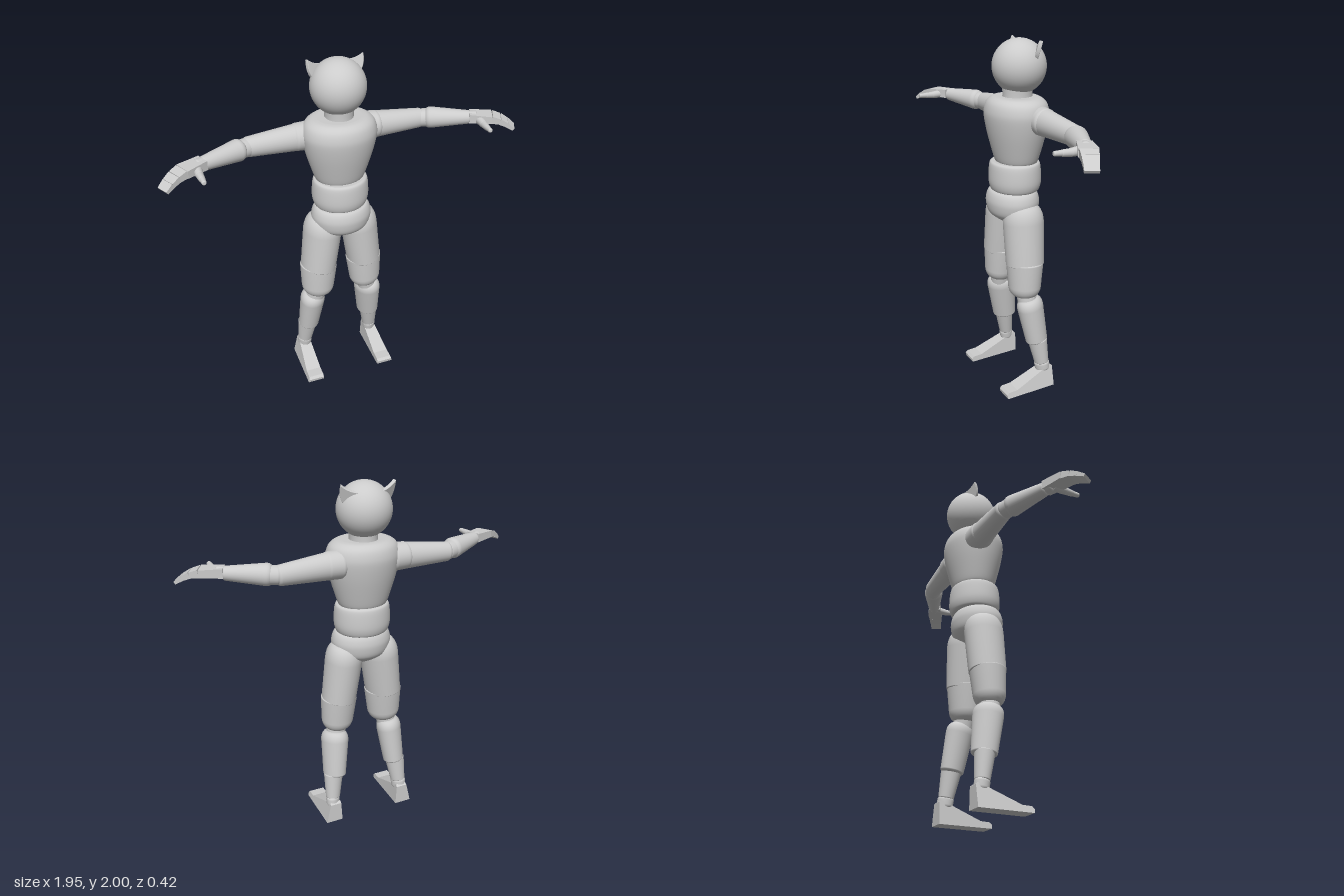
import * as THREE from 'three';

const material = new THREE.MeshStandardMaterial({ color: 0xcccccc });
const UP = new THREE.Vector3(0, 1, 0);

function add(parent, name, geometry) {
  const mesh = new THREE.Mesh(geometry, material);
  mesh.name = name;
  parent.add(mesh);
  return mesh;
}

// Upright torso part: [radius, height] profile smoothed by a spline, with closed ends
function turned(parent, name, profile, z, depth) {
  const curve = new THREE.SplineCurve(profile.map(([r, y]) => new THREE.Vector2(r, y)));
  const pts = curve.getPoints(36);
  pts.unshift(new THREE.Vector2(0, pts[0].y));
  pts.push(new THREE.Vector2(0, pts[pts.length - 1].y));
  const mesh = add(parent, name, new THREE.LatheGeometry(pts, 48));
  mesh.scale.z = depth;
  mesh.position.z = z;
}

// Tapered limb section from a to b, with ends rounded over the lengths e0 and e1
function limb(parent, name, a, b, ra, rb, e0, e1, kx = 1, kz = 1) {
  const start = new THREE.Vector3(...a);
  const dir = new THREE.Vector3(...b).sub(start);
  const length = dir.length();
  const pts = [new THREE.Vector2(0, 0)];
  const steps = 6;
  const radius = (y) => ra + (rb - ra) * y / length;
  for (let i = 0; i <= steps; i++) {
    const t = (i / steps) * Math.PI / 2, y = e0 * (1 - Math.cos(t));
    pts.push(new THREE.Vector2(radius(y) * (0.55 + 0.45 * Math.sin(t)), y));
  }
  for (let i = steps; i >= 0; i--) {
    const t = (i / steps) * Math.PI / 2, y = length - e1 * (1 - Math.cos(t));
    pts.push(new THREE.Vector2(radius(y) * (0.55 + 0.45 * Math.sin(t)), y));
  }
  pts.push(new THREE.Vector2(0, length));
  const mesh = add(parent, name, new THREE.LatheGeometry(pts, 32));
  mesh.position.copy(start);
  mesh.quaternion.setFromUnitVectors(UP, dir.normalize());
  mesh.scale.set(kx, 1, kz);
}

// Tapered block from a to b; w is the level width and h the thickness at each end
function slab(parent, name, a, b, [w0, h0], [w1, h1]) {
  const start = new THREE.Vector3(...a), end = new THREE.Vector3(...b);
  const dir = end.clone().sub(start).normalize();
  const side = new THREE.Vector3().crossVectors(UP, dir).normalize();
  const up = new THREE.Vector3().crossVectors(dir, side);
  const geometry = new THREE.BoxGeometry(1, 1, 1);
  const p = geometry.attributes.position;
  const v = new THREE.Vector3();
  for (let i = 0; i < p.count; i++) {
    const t = p.getZ(i) + 0.5;
    v.lerpVectors(start, end, t)
      .addScaledVector(side, p.getX(i) * (w0 + (w1 - w0) * t))
      .addScaledVector(up, p.getY(i) * (h0 + (h1 - h0) * t));
    p.setXYZ(i, v.x, v.y, v.z);
  }
  geometry.computeVertexNormals();
  add(parent, name, geometry);
}

function ear(parent, s) {
  const shape = new THREE.Shape();
  shape.moveTo(s * 0.03, -0.05);
  shape.quadraticCurveTo(s * 0.06, -0.02, s * 0.055, 0.043);
  shape.quadraticCurveTo(s * 0.015, 0.012, s * -0.055, 0.015);
  shape.lineTo(s * -0.04, -0.05);
  const geometry = new THREE.ExtrudeGeometry(shape, {
    depth: 0.012, bevelEnabled: true, bevelSize: 0.002, bevelThickness: 0.004, bevelSegments: 2, curveSegments: 10,
  });
  geometry.translate(0, 0, -0.006);
  const mesh = add(parent, 'ear', geometry);
  mesh.position.set(s * 0.1, 1.945, -0.112);
  mesh.rotation.set(-0.3, -0.45 * s, 0);
}

function arm(parent, s) {
  const g = new THREE.Group();
  g.name = s > 0 ? 'leftArm' : 'rightArm';
  parent.add(g);
  limb(g, 'shoulder', [s * 0.13, 1.585, -0.09], [s * 0.25, 1.585, -0.09], 0.078, 0.073, 0.03, 0.03);
  limb(g, 'upperArm', [s * 0.18, 1.585, -0.09], [s * 0.505, 1.572, -0.095], 0.075, 0.052, 0.02, 0.02, 1.02, 0.95);
  limb(g, 'elbow', [s * 0.475, 1.573, -0.095], [s * 0.55, 1.577, -0.07], 0.05, 0.05, 0.02, 0.02);
  limb(g, 'forearm', [s * 0.515, 1.577, -0.08], [s * 0.745, 1.587, 0.022], 0.062, 0.036, 0.035, 0.015);
  limb(g, 'wrist', [s * 0.72, 1.588, 0.012], [s * 0.775, 1.592, 0.038], 0.032, 0.032, 0.01, 0.01);
  // Palm and three stepped finger rows, curling down
  const joints = [[0.735, 1.593, 0.022], [0.845, 1.594, 0.073], [0.885, 1.585, 0.093], [0.92, 1.567, 0.112], [0.955, 1.542, 0.131]];
  const heights = [0.05, 0.042, 0.034, 0.027, 0.018];
  for (let i = 0; i < 4; i++) {
    const [a, b] = [joints[i], joints[i + 1]].map(([x, y, z]) => [s * x, y, z]);
    const w = i ? 0.094 - 0.007 * i : 0.075;
    slab(g, i ? 'fingerRow' : 'palm', a, b, [w, heights[i]], [i ? w - 0.005 : 0.095, heights[i + 1] - 0.002]);
  }
  // Thumb
  limb(g, 'thumbBase', [s * 0.773, 1.588, 0.045], [s * 0.772, 1.584, 0.125], 0.025, 0.02, 0.008, 0.008);
  limb(g, 'thumbMiddle', [s * 0.772, 1.584, 0.115], [s * 0.768, 1.586, 0.17], 0.02, 0.016, 0.008, 0.008);
  limb(g, 'thumbTip', [s * 0.768, 1.586, 0.16], [s * 0.766, 1.588, 0.208], 0.0155, 0.012, 0.006, 0.008);
}

function foot(parent, s) {
  // Side profile of the wedge, extruded across and flared towards the sole
  const shape = new THREE.Shape();
  [[-0.145, 0], [0.165, 0], [0.168, 0.02], [0.155, 0.034], [0.1, 0.036], [-0.04, 0.092], [-0.13, 0.128], [-0.145, 0.118]]
    .forEach(([z, y], i) => (i ? shape.lineTo(z, y) : shape.moveTo(z, y)));
  const geometry = new THREE.ExtrudeGeometry(shape, { depth: 0.1, bevelEnabled: false });
  geometry.translate(0, 0, -0.05);
  geometry.rotateY(-Math.PI / 2);
  const p = geometry.attributes.position;
  for (let i = 0; i < p.count; i++) {
    const y = p.getY(i);
    p.setX(i, s * (0.23 - 0.08 * y) + p.getX(i) * (1 - 2.8 * y));
  }
  geometry.computeVertexNormals();
  add(parent, 'foot', geometry);
}

function leg(parent, s) {
  const g = new THREE.Group();
  g.name = s > 0 ? 'leftLeg' : 'rightLeg';
  parent.add(g);
  limb(g, 'thigh', [s * 0.098, 1.1, -0.028], [s * 0.142, 0.755, -0.02], 0.113, 0.103, 0.1, 0.01, 0.96, 1.05);
  limb(g, 'lowerThigh', [s * 0.139, 0.785, -0.02], [s * 0.152, 0.57, -0.012], 0.106, 0.088, 0.015, 0.06, 0.96, 1.03);
  limb(g, 'knee', [s * 0.155, 0.6, -0.018], [s * 0.168, 0.52, -0.025], 0.056, 0.056, 0.02, 0.02);
  limb(g, 'calf', [s * 0.172, 0.558, -0.028], [s * 0.197, 0.28, -0.072], 0.087, 0.069, 0.06, 0.015, 1, 0.88);
  limb(g, 'shin', [s * 0.203, 0.3, -0.07], [s * 0.219, 0.14, -0.094], 0.058, 0.042, 0.01, 0.01, 0.95, 1.02);
  limb(g, 'ankle', [s * 0.219, 0.155, -0.092], [s * 0.222, 0.09, -0.1], 0.043, 0.04, 0.02, 0.02, 0.95, 1.08);
  foot(g, s);
}

export function createModel() {
  const model = new THREE.Group();
  model.name = 'jointedFigure';

  // Head and torso
  const head = add(model, 'head', new THREE.SphereGeometry(0.148, 48, 32));
  head.position.set(0, 1.852, -0.058);
  turned(model, 'neck', [[0.08, 1.66], [0.077, 1.7], [0.078, 1.75]], -0.048, 1.08);
  turned(model, 'chest', [[0.125, 1.33], [0.138, 1.342], [0.158, 1.4], [0.187, 1.5], [0.203, 1.58], [0.202, 1.625],
    [0.186, 1.665], [0.155, 1.688], [0.12, 1.694]], -0.041, 0.835);
  turned(model, 'waist', [[0.13, 1.17], [0.147, 1.18], [0.158, 1.22], [0.157, 1.28], [0.15, 1.325], [0.135, 1.337]], -0.032, 0.91);
  turned(model, 'pelvis', [[0.05, 0.98], [0.11, 1.01], [0.155, 1.045], [0.17, 1.1], [0.165, 1.14], [0.15, 1.168], [0.13, 1.175]],
    -0.017, 0.85);

  for (const s of [1, -1]) {
    ear(model, s);
    arm(model, s);
    leg(model, s);
  }
  return model;
}
